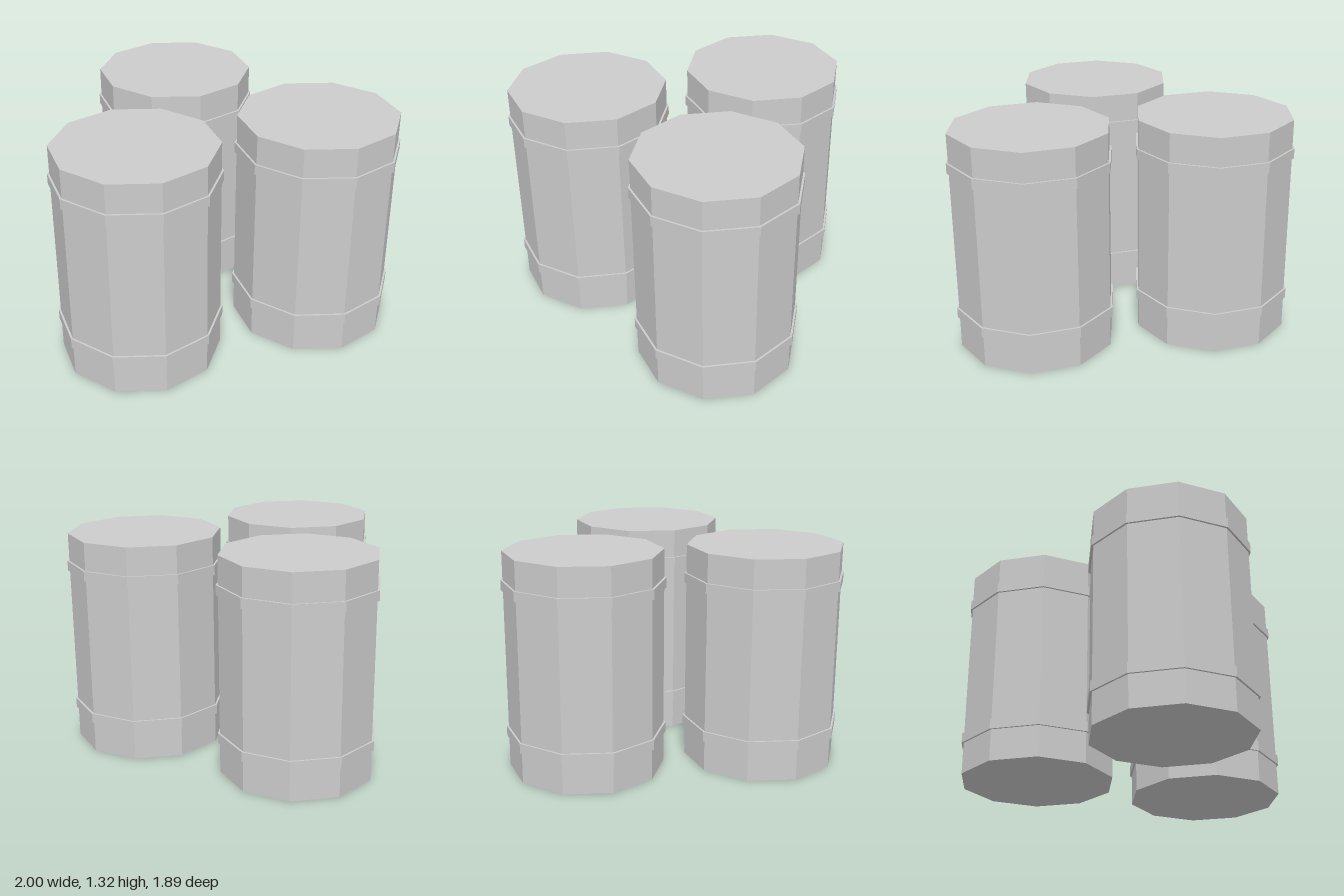
import * as THREE from 'three';

const SIDES = 10;
const HEIGHT = 1.32;
const BODY_RADIUS = 0.466;
const BAND_RADIUS = 0.478;
const BAND_HEIGHT = 0.06;

export function createModel() {
  const grey = new THREE.MeshStandardMaterial({ color: 0xcccccc });
  grey.name = 'lightGrey';
  grey.flatShading = true;

  const bodyGeometry = new THREE.CylinderGeometry(BODY_RADIUS, BODY_RADIUS, HEIGHT, SIDES);

  // Hoop with a rectangular cross-section, seated on the body
  const h = BAND_HEIGHT / 2;
  const bandGeometry = new THREE.LatheGeometry([
    new THREE.Vector2(BODY_RADIUS, -h),
    new THREE.Vector2(BAND_RADIUS, -h),
    new THREE.Vector2(BAND_RADIUS, h),
    new THREE.Vector2(BODY_RADIUS, h),
  ], SIDES);

  function addMesh(parent, name, geometry, y) {
    const mesh = new THREE.Mesh(geometry, grey);
    mesh.name = name;
    mesh.position.y = y;
    parent.add(mesh);
  }

  function createBarrel(name, x, z) {
    const barrel = new THREE.Group();
    barrel.name = name;
    addMesh(barrel, 'body', bodyGeometry, HEIGHT / 2);
    addMesh(barrel, 'lowerBand', bandGeometry, 0.22);
    addMesh(barrel, 'upperBand', bandGeometry, 1.12);
    barrel.position.set(x, 0, z);
    return barrel;
  }

  // Two barrels in front, one behind
  const model = new THREE.Group();
  model.name = 'barrels';
  model.add(
    createBarrel('leftBarrel', 0.545, 0.463),
    createBarrel('rightBarrel', -0.545, 0.463),
    createBarrel('backBarrel', 0, -0.467),
  );
  return model;
}
